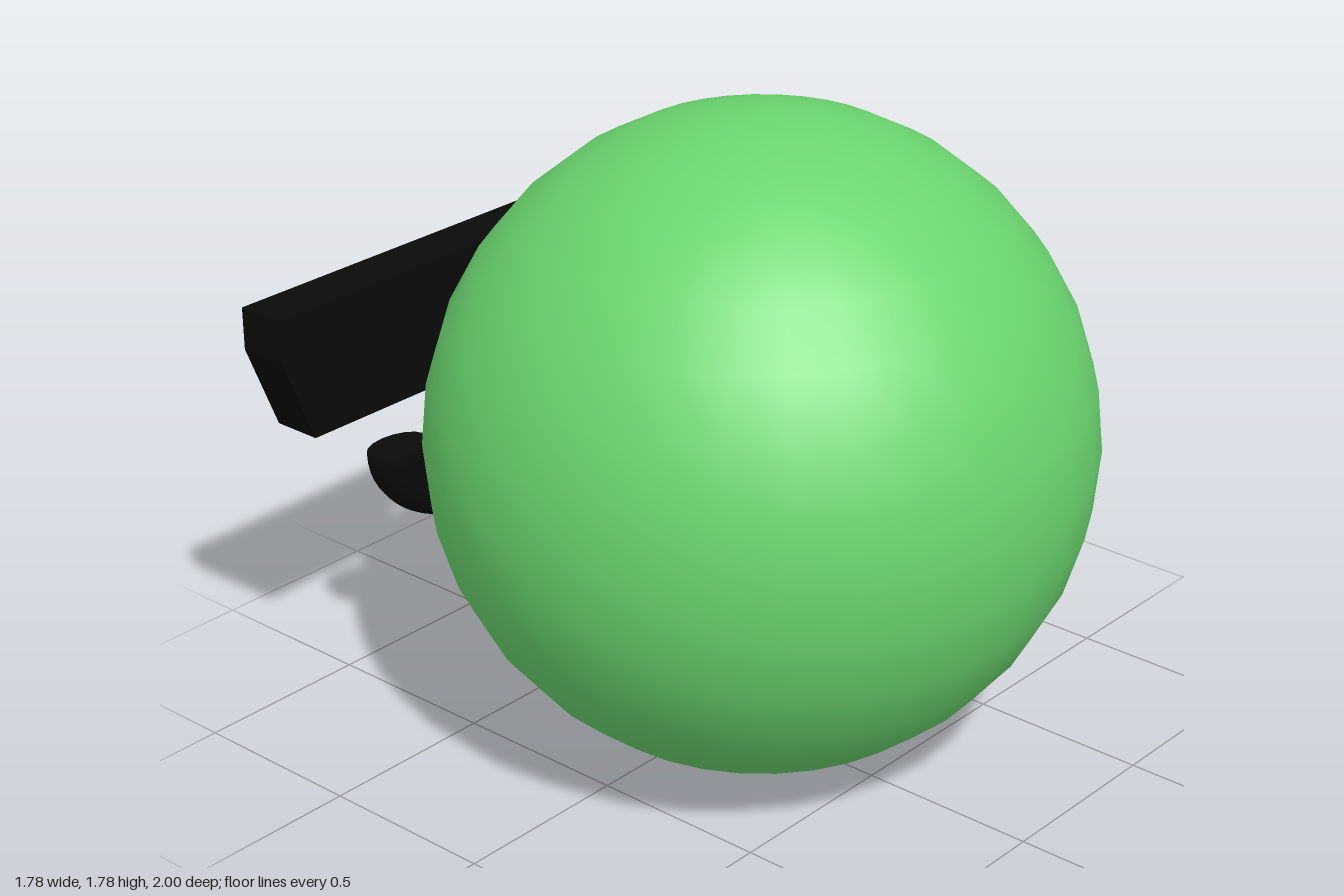
import * as THREE from 'three';

const green = new THREE.MeshStandardMaterial({ color: 0x6bd66f });
const black = new THREE.MeshStandardMaterial({ color: 0x0a0a0a });

function addMesh(parent, name, geometry, material) {
  const mesh = new THREE.Mesh(geometry, material);
  mesh.name = name;
  parent.add(mesh);
  return mesh;
}

// Mirrored outline: a slab with chamfered lower corners and a notch for the nose
function glassesShape() {
  const half = [[0.8, 1.2], [0.8, 1.08], [0.7, 0.83], [0.23, 0.83], [0.13, 1.05]];
  const mirrored = half.map(([x, y]) => [-x, y]).reverse();
  return new THREE.Shape([...half, ...mirrored].map(([x, y]) => new THREE.Vector2(x, y)));
}

export function createModel() {
  const model = new THREE.Group();
  model.name = 'ballFace';

  // Round body
  const body = addMesh(model, 'body', new THREE.SphereGeometry(0.89, 32, 16), green);
  body.position.set(0, 0.89, 0.11);

  // Dark glasses floating behind the body
  const glassesGeometry = new THREE.ExtrudeGeometry(glassesShape(), { depth: 0.145, bevelEnabled: false });
  const glasses = addMesh(model, 'glasses', glassesGeometry, black);
  glasses.position.z = -1;

  // Smile: half ring stretched sideways, closed by flat ends
  const ringRadius = 0.25, tubeRadius = 0.0625;
  const smile = new THREE.Group();
  smile.name = 'smile';
  smile.position.set(0, 0.7, -0.8625);
  smile.scale.x = 1.6;
  const ring = addMesh(smile, 'smileRing', new THREE.TorusGeometry(ringRadius, tubeRadius, 16, 32, Math.PI), black);
  ring.rotation.z = Math.PI;
  for (const [name, side] of [['smileLeftEnd', 1], ['smileRightEnd', -1]]) {
    const end = addMesh(smile, name, new THREE.CircleGeometry(tubeRadius, 16), black);
    end.rotation.x = -Math.PI / 2;
    end.position.x = side * ringRadius;
  }
  model.add(smile);

  return model;
}
